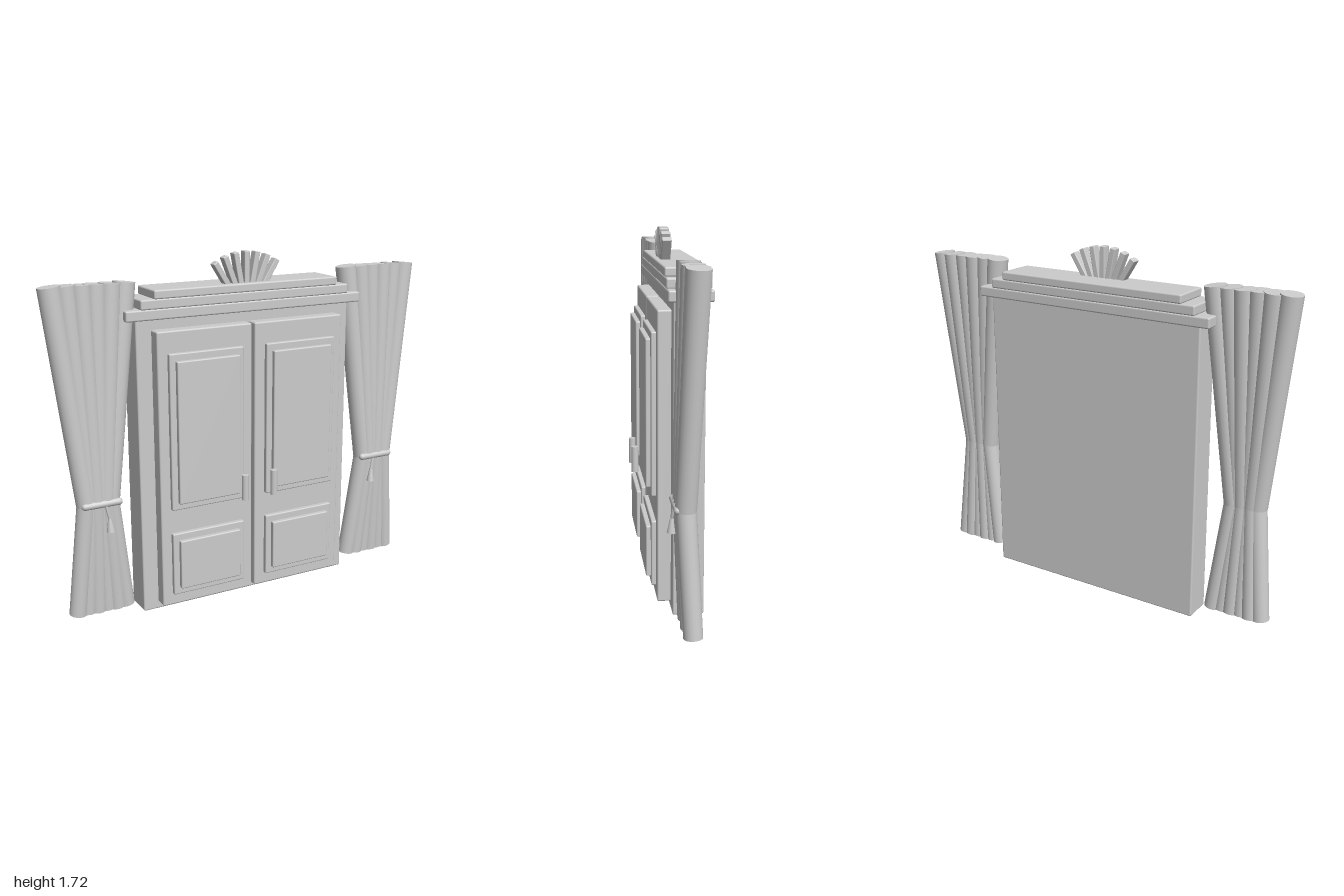
import * as THREE from 'three';
import { RoundedBoxGeometry } from 'three/addons/geometries/RoundedBoxGeometry.js';

const paleGrey = new THREE.MeshStandardMaterial({ color: 0xcccccc });
paleGrey.name = 'paleGrey';

function add(parent, name, geometry) {
  const mesh = new THREE.Mesh(geometry, paleGrey);
  mesh.name = name;
  parent.add(mesh);
  return mesh;
}

// Softened box given by its limits on each axis
function block(parent, name, [x0, x1], [y0, y1], [z0, z1], bevel = 0.008) {
  const mesh = add(parent, name, new RoundedBoxGeometry(x1 - x0, y1 - y0, z1 - z0, 2, bevel));
  mesh.position.set((x0 + x1) / 2, (y0 + y1) / 2, (z0 + z1) / 2);
  return mesh;
}

// Tapered rod running from a (radius ra) to b (radius rb)
function rod(parent, name, a, b, ra, rb, sides = 20) {
  const from = new THREE.Vector3(...a), to = new THREE.Vector3(...b);
  const dir = to.clone().sub(from);
  const mesh = add(parent, name, new THREE.CylinderGeometry(rb, ra, dir.length(), sides));
  mesh.position.copy(from).add(to).multiplyScalar(0.5);
  mesh.quaternion.setFromUnitVectors(new THREE.Vector3(0, 1, 0), dir.normalize());
  return mesh;
}

function makeDoor(side) {
  const door = new THREE.Group();
  door.name = side > 0 ? 'leftDoor' : 'rightDoor';
  const span = (a, b) => (side > 0 ? [a, b] : [-b, -a]);
  block(door, 'doorLeaf', span(0.008, 0.497), [0.035, 1.39], [0, 0.074]);
  // Two stepped panels, upper and lower
  for (const [label, y0, y1] of [['upper', 0.53, 1.287], ['lower', 0.095, 0.41]]) {
    block(door, label + 'PanelMoulding', span(0.062, 0.447), [y0, y1], [0.06, 0.096], 0.006);
    block(door, label + 'PanelField', span(0.092, 0.417), [y0 + 0.034, y1 - 0.034], [0.08, 0.118], 0.006);
  }
  rod(door, 'handle', [side * 0.08, 0.538, 0.14], [side * 0.08, 0.665, 0.14], 0.017, 0.017);
  return door;
}

function makeCurtain(side) {
  const curtain = new THREE.Group();
  curtain.name = side > 0 ? 'leftCurtain' : 'rightCurtain';
  const folds = 6;
  for (let i = 0; i < folds; i++) {
    const t = i / (folds - 1);
    const x = (inner, outer) => side * THREE.MathUtils.lerp(inner, outer, t);
    const wave = i % 2 ? 0.006 : 0;
    const waist = [x(0.717, 0.837), 0.598, -0.016 + wave];
    rod(curtain, 'upperFold', waist, [x(0.598, 0.948), 1.61, -0.047 + wave], 0.046, 0.052);
    rod(curtain, 'lowerFold', [x(0.648, 0.892), 0.045, -0.043 + wave], waist, 0.043, 0.044);
  }
  // Tieback with its tassel
  const tie = add(curtain, 'tieback', new THREE.CapsuleGeometry(0.017, 0.165, 6, 16));
  tie.rotation.z = Math.PI / 2;
  tie.position.set(side * 0.771, 0.603, 0.026);
  rod(curtain, 'tasselCord', [side * 0.74, 0.525, 0.037], [side * 0.757, 0.6, 0.032], 0.007, 0.007, 10);
  rod(curtain, 'tassel', [side * 0.738, 0.465, 0.039], [side * 0.741, 0.53, 0.037], 0.02, 0.008, 16);
  return curtain;
}

export function createModel() {
  const model = new THREE.Group();
  model.name = 'curtainedDoubleDoor';
  block(model, 'frame', [-0.573, 0.573], [0, 1.45], [-0.131, 0.012]);

  // Stepped cornice
  [[0.628, 1.438, 1.488], [0.555, 1.486, 1.533], [0.488, 1.531, 1.573]].forEach(([w, y0, y1], i) =>
    block(model, 'corniceTier' + (i + 1), [-w, w], [y0, y1], [-0.158, 0.041]));

  // Fan crest of radiating slats
  const crest = new THREE.Group();
  crest.name = 'fanCrest';
  for (let i = -3; i <= 3; i++) {
    const angle = i * 0.187, r = 0.22;
    const slat = add(crest, 'fanSlat', new RoundedBoxGeometry(0.027, 0.18, 0.044, 2, 0.004));
    slat.position.set(Math.sin(angle) * r, 1.41 + Math.cos(angle) * r, -0.007);
    slat.rotation.z = -angle;
  }
  model.add(crest);

  for (const side of [-1, 1]) model.add(makeDoor(side), makeCurtain(side));
  return model;
}
